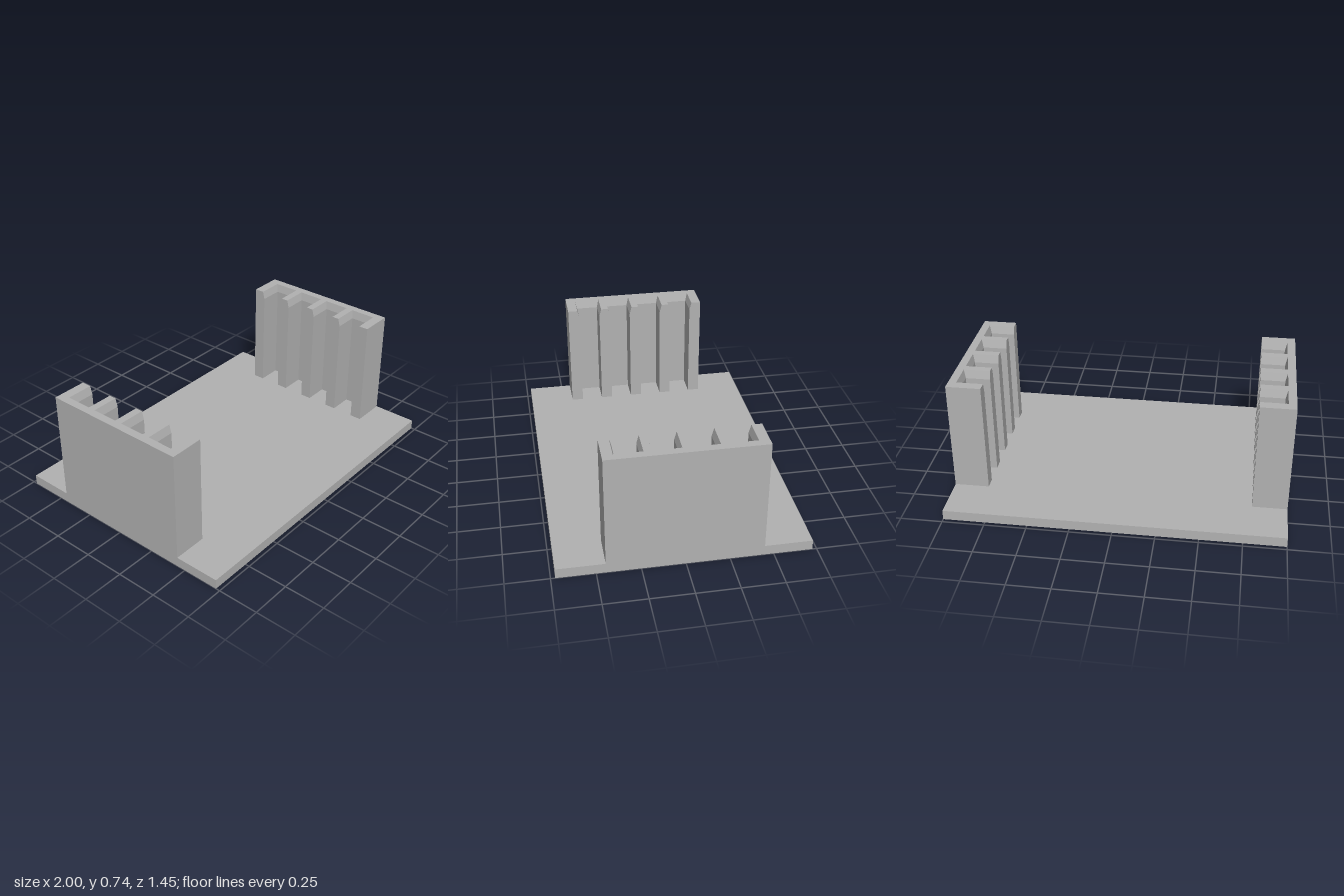
import * as THREE from 'three';

const BASE_H = 0.06, TOP = 0.735, LEAD_IN = 0.05; // heights
const INNER = 0.793, END = 0.447;                 // rack extents in x and z
const SLOTS = [-0.307, -0.1025, 0.1025, 0.307];   // slot centres along z
const NARROW = { half: 0.067, back: 0.94 };
const WIDE = { half: 0.08, back: 0.952 };

// Comb-shaped rack whose slots flare out at the top
function rackGeometry() {
  const shape = new THREE.Shape();
  shape.moveTo(1, END);
  shape.lineTo(1, -END);
  shape.lineTo(INNER, -END);
  for (const c of SLOTS) {
    shape.lineTo(INNER, c - NARROW.half);
    shape.lineTo(NARROW.back, c - NARROW.half);
    shape.lineTo(NARROW.back, c + NARROW.half);
    shape.lineTo(INNER, c + NARROW.half);
  }
  shape.lineTo(INNER, END);
  shape.closePath();

  const geo = new THREE.ExtrudeGeometry(shape, { depth: 2, steps: 2, bevelEnabled: false });
  geo.rotateX(-Math.PI / 2);
  const levels = [BASE_H, TOP - LEAD_IN, TOP];
  const pos = geo.attributes.position;
  for (let i = 0; i < pos.count; i++) {
    const level = Math.round(pos.getY(i));
    pos.setY(i, levels[level]);
    if (level < 2) continue;
    // widen the slot mouth on the top ring only
    const z = pos.getZ(i);
    const c = SLOTS.find((s) => Math.abs(z - s) < NARROW.half + 0.005);
    if (c === undefined) continue;
    pos.setZ(i, c + Math.sign(z - c) * WIDE.half);
    if (Math.abs(pos.getX(i) - NARROW.back) < 0.005) pos.setX(i, WIDE.back);
  }
  geo.computeVertexNormals();
  return geo;
}

export function createModel() {
  const group = new THREE.Group();
  group.name = 'slottedRack';
  const grey = new THREE.MeshStandardMaterial({ color: 0xb2b2b2 });
  grey.name = 'grey';

  // Base plate
  const base = new THREE.Mesh(new THREE.BoxGeometry(2, BASE_H, 1.45), grey);
  base.name = 'basePlate';
  base.position.y = BASE_H / 2;
  group.add(base);

  // Two facing slotted walls
  const geo = rackGeometry();
  ['leftSlottedWall', 'rightSlottedWall'].forEach((name, i) => {
    const wall = new THREE.Mesh(geo, grey);
    wall.name = name;
    wall.rotation.y = i * Math.PI;
    group.add(wall);
  });
  return group;
}
